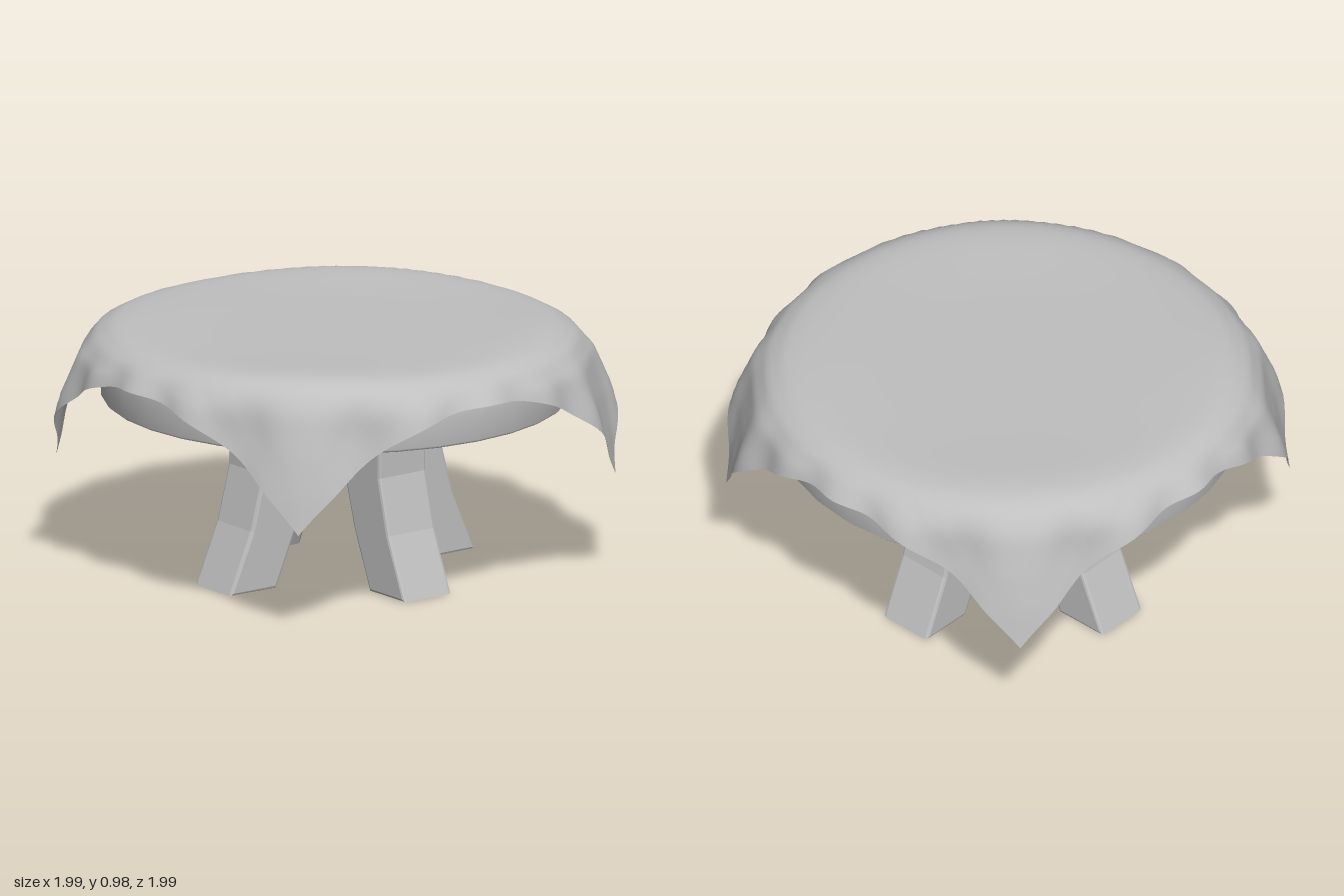
import * as THREE from 'three';

const material = new THREE.MeshStandardMaterial({ color: 0xbfbfbf, side: THREE.DoubleSide });
material.name = 'plain grey';

// Cloth cross-section: [distance along the cloth, radius, height]
const drape = [
  [0, 0, 0.972], [0.72, 0.72, 0.972], [0.8, 0.8, 0.97], [0.87, 0.865, 0.96], [0.95, 0.93, 0.925],
  [1.04, 0.98, 0.86], [1.18, 1.025, 0.71], [1.32, 1.06, 0.555], [1.49, 1.087, 0.4],
];

function sampleDrape(d) {
  let i = 1;
  while (i < drape.length - 1 && d > drape[i][0]) i++;
  const a = drape[i - 1], b = drape[i];
  const t = (d - a[0]) / (b[0] - a[0]);
  return [THREE.MathUtils.lerp(a[1], b[1], t), THREE.MathUtils.lerp(a[2], b[2], t)];
}

// Square cloth laid over the round top: two corners pinch to a fold, two hang broad
function makeCloth() {
  const side = 1.045;
  const geometry = new THREE.PlaneGeometry(side * 2, side * 2, 64, 64);
  geometry.rotateX(-Math.PI / 2);
  const p = geometry.attributes.position;
  for (let i = 0; i < p.count; i++) {
    const x = p.getX(i), z = p.getZ(i);
    const angle = Math.atan2(z, x);
    const d = Math.hypot(x, z);
    let [r, y] = sampleDrape(d);
    const hang = THREE.MathUtils.smoothstep(d, 0.9, 1.2);
    const offDiagonal = Math.abs(Math.atan2(Math.abs(z), Math.abs(x)) - Math.PI / 4);
    const fold = Math.exp(-(((offDiagonal - 0.22) / 0.1) ** 2));
    r += hang * fold * (x * z < 0 ? -0.045 : 0.035);
    // small ruffles close to the hem
    const hem = THREE.MathUtils.smoothstep(Math.max(Math.abs(x), Math.abs(z)), 0.9, side);
    r += hem * 0.014 * Math.cos(20 * angle) * Math.min(1, offDiagonal * 4);
    // rim swells a little towards the corners
    y += 0.01 * Math.sin(2 * angle) ** 2 * THREE.MathUtils.smoothstep(d, 0.4, 0.8) * (1 - hang);
    p.setXYZ(i, r * Math.cos(angle), y, r * Math.sin(angle));
  }
  geometry.computeVertexNormals();
  const cloth = new THREE.Mesh(geometry, material);
  cloth.name = 'tablecloth';
  return cloth;
}

// Round top; each profile run is its own lathe so the edges stay sharp
function makeTop() {
  const top = new THREE.Group();
  top.name = 'tableTop';
  const runs = {
    topUnderside: [[0, 0.69], [0.895, 0.69]],
    topRim: [[0.895, 0.69], [0.905, 0.7], [0.91, 0.8], [0.9, 0.89], [0.86, 0.935]],
    topSurface: [[0.86, 0.935], [0, 0.945]],
  };
  for (const [name, points] of Object.entries(runs)) {
    const profile = points.map(([x, y]) => new THREE.Vector2(x, y));
    const mesh = new THREE.Mesh(new THREE.LatheGeometry(profile, 32), material);
    mesh.name = name;
    top.add(mesh);
  }
  return top;
}

// Leg that bends outwards, with a small bevel all round
function makeLegGeometry() {
  const bevel = 0.012, width = 0.228;
  const inner = [[0.2, 0.72], [0.2, 0.46], [0.265, 0.24], [0.363, 0.005]];
  const outer = [[0.588, 0.005], [0.487, 0.24], [0.43, 0.46], [0.43, 0.72]];
  const shape = new THREE.Shape([
    ...inner.map(([x, y]) => new THREE.Vector2(x + bevel, Math.max(y, bevel))),
    ...outer.map(([x, y]) => new THREE.Vector2(x - bevel, Math.max(y, bevel))),
  ]);
  const geometry = new THREE.ExtrudeGeometry(shape, {
    depth: width - bevel * 2, bevelSize: bevel, bevelThickness: bevel, bevelSegments: 2,
  });
  geometry.translate(0, 0, -width / 2 + bevel);
  return geometry;
}

export function createModel() {
  const model = new THREE.Group();
  model.name = 'clothedTable';
  model.add(makeCloth(), makeTop());

  const legGeometry = makeLegGeometry();
  ['leftLeg', 'backLeg', 'rightLeg', 'frontLeg'].forEach((name, i) => {
    const leg = new THREE.Mesh(legGeometry, material);
    leg.name = name;
    leg.position.x = -0.005;
    leg.rotation.y = i * Math.PI / 2;
    model.add(leg);
  });
  return model;
}
